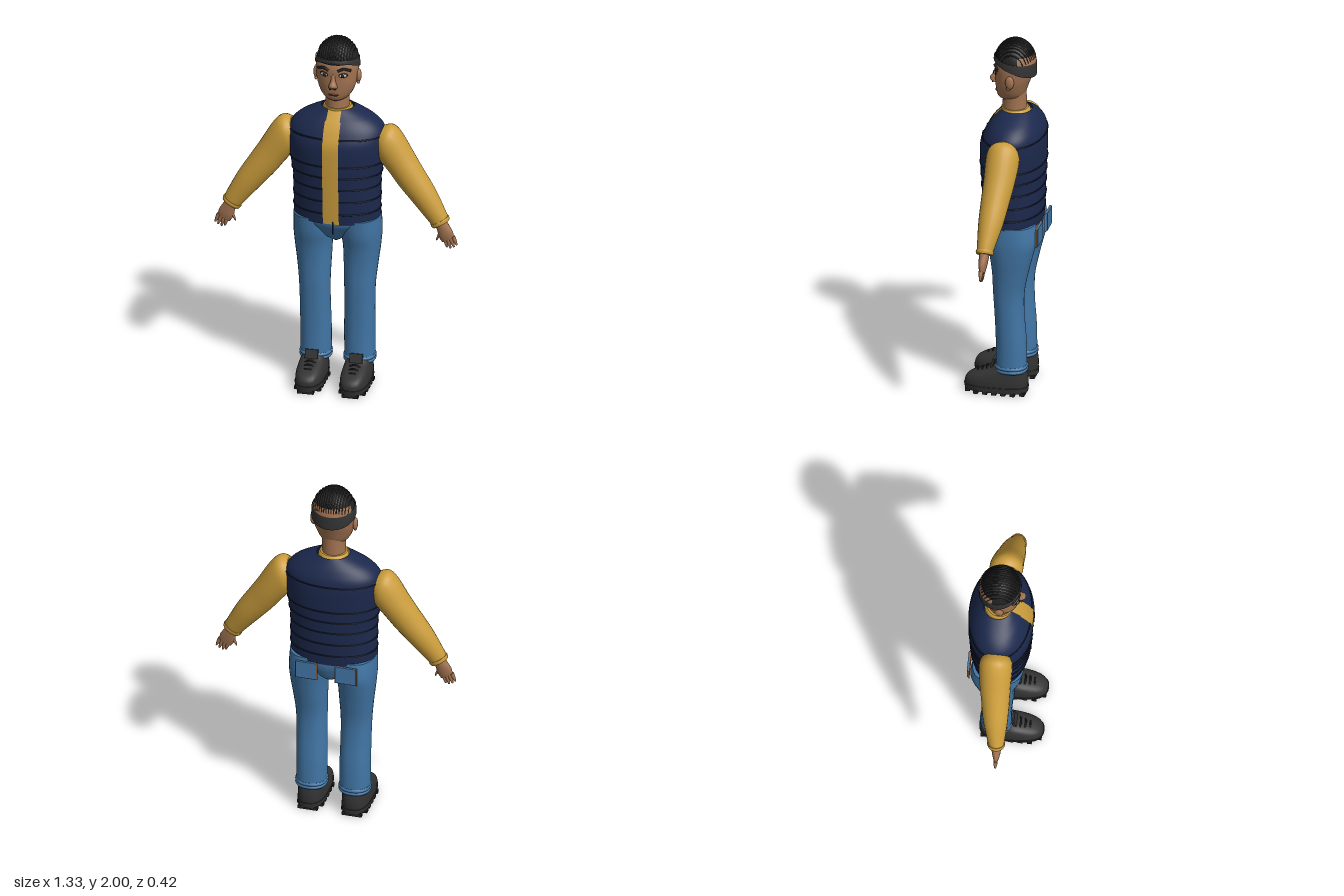
import * as THREE from 'three';

const mat = (name, color, side = THREE.FrontSide) => {
  const m = new THREE.MeshStandardMaterial({ color, side });
  m.name = name;
  return m;
};

// Catmull-Rom resampling of rows of numbers
function smooth(rows, n = 5) {
  const out = [], at = i => rows[Math.max(0, Math.min(rows.length - 1, i))];
  for (let i = 0; i < rows.length - 1; i++)
    for (let k = 0; k < n; k++) {
      const t = k / n, [a, b, c, d] = [at(i - 1), at(i), at(i + 1), at(i + 2)];
      out.push(b.map((p, j) => {
        const quad = 2 * a[j] - 5 * p + 4 * c[j] - d[j];
        const cube = 3 * (p - c[j]) + d[j] - a[j];
        return p + 0.5 * t * (c[j] - a[j] + t * (quad + t * cube));
      }));
    }
  out.push(at(rows.length - 1));
  return out;
}

const spow = (v, p) => Math.sign(v) * Math.abs(v) ** p;
const ringPoint = (r, t, p = 1) => [0, 1, 2].map(k => r.c[k] + r.u[k] * spow(Math.cos(t), p) + r.v[k] * spow(Math.sin(t), p));

// Skin over rings { c, u, v }; arc(ring) gives an open angular range
function loft(rings, { seg = 32, pow = 1, cap = true, arc = null } = {}) {
  const pos = [], idx = [], cols = arc ? seg + 1 : seg;
  const addRing = r => {
    const [a, b] = arc ? arc(r) : [0, Math.PI * 2];
    for (let j = 0; j < cols; j++) pos.push(...ringPoint(r, a + (b - a) * j / seg, pow));
  };
  rings.forEach(addRing);
  for (let i = 0; i < rings.length - 1; i++)
    for (let j = 0; j < seg; j++) {
      const a = i * cols + j, b = i * cols + (j + 1) % cols;
      idx.push(a, a + cols, b, b, a + cols, b + cols);
    }
  if (cap && !arc) [rings[0], rings[rings.length - 1]].forEach((r, e) => {
    const s = pos.length / 3;
    addRing(r);
    pos.push(...r.c);
    for (let j = 0; j < seg; j++) {
      const a = s + j, b = s + (j + 1) % seg;
      idx.push(...(e ? [a, s + seg, b] : [a, b, s + seg]));
    }
  });
  const g = new THREE.BufferGeometry();
  g.setAttribute('position', new THREE.Float32BufferAttribute(pos, 3));
  g.setIndex(idx);
  g.computeVertexNormals();
  return g;
}

// Rows of [y, centreX, halfWidth, frontZ, backZ] become horizontal rings
const toRings = (rows, n = 5) => smooth(rows, n).map(([y, x, w, f, b]) => (
  { c: [x, y, (f + b) / 2], u: [w, 0, 0], v: [0, 0, (f - b) / 2] }));
const stack = (rows, opts, n) => loft(toRings(rows, n), opts);

// Rows of [x, y, z, radiusInPlane, radiusZ, angle] become rings along a limb
const limb = (rows, seg = 24) => loft(smooth(rows).map(([x, y, z, r, rz, a]) => (
  { c: [x, y, z], u: [r * Math.cos(a), r * Math.sin(a), 0], v: [0, 0, -rz] })), { seg });

const box = (w, h, d, x, y, z) => new THREE.BoxGeometry(w, h, d).translate(x, y, z);
const ball = (rx, ry, rz, x, y, z) => new THREE.SphereGeometry(1, 20, 14).scale(rx, ry, rz).translate(x, y, z);
const tube = (pts, r, n = 32) => new THREE.TubeGeometry(
  new THREE.CatmullRomCurve3(pts.map(p => new THREE.Vector3(...p))), n, r, 6);

function mirrored(geo) {
  const g = geo.clone().scale(-1, 1, 1), ix = g.index;
  for (let i = 0; i < ix.count; i += 3) {
    const b = ix.getX(i + 1);
    ix.setX(i + 1, ix.getX(i + 2));
    ix.setX(i + 2, b);
  }
  return g;
}

export function createModel() {
  const model = new THREE.Group();
  model.name = 'standingMan';
  const skin = mat('skin', 0xa27352), denim = mat('denim', 0x4276a6), navy = mat('navy', 0x1c294d, THREE.DoubleSide);
  const seamNavy = mat('seamNavy', 0x10182e), yellow = mat('yellow', 0xcb9d3c, THREE.DoubleSide);
  const black = mat('black', 0x202020, THREE.DoubleSide), shoeGrey = mat('shoeGrey', 0x333333);
  const eyeWhite = mat('eyeWhite', 0xc8b49c), tan = mat('tan', 0xa5734a), lip = mat('lip', 0x7a4b38);
  const add = (name, geo, m) => {
    const mesh = new THREE.Mesh(geo, m);
    mesh.name = name;
    model.add(mesh);
  };
  const pair = (name, geo, m) => {
    add(name + 'Left', geo, m);
    add(name + 'Right', mirrored(geo), m);
  };

  // Vest, open down the front over a shirt
  const torso = toRings([[0.97, 0, 0.235, 0.12, -0.19], [1.08, 0, 0.236, 0.128, -0.197], [1.2, 0, 0.238, 0.135, -0.2],
    [1.31, 0, 0.254, 0.14, -0.205], [1.42, 0, 0.264, 0.14, -0.207], [1.49, 0, 0.256, 0.115, -0.2],
    [1.54, 0, 0.212, 0.085, -0.177], [1.575, 0, 0.15, 0.055, -0.153], [1.602, 0, 0.088, 0.032, -0.13]]);
  const gap = (r, w) => Math.asin(Math.min(0.9, w / r.u[0]));
  const vestArc = r => {
    const g = gap(r, r.c[1] > 1.55 ? 0.034 : 0.04);
    return [Math.PI / 2 + g, Math.PI * 2.5 - g];
  };
  add('vest', loft(torso, { seg: 64, pow: 0.95, arc: vestArc }), navy);
  const inner = torso.map(r => ({ c: r.c, u: r.u, v: r.v.map(k => k * 0.975) }));
  add('shirtFront', loft(inner, { seg: 10, pow: 0.95, arc: r => [Math.PI / 2 - gap(r, 0.055), Math.PI / 2 + gap(r, 0.055)] }), yellow);
  add('shirtCollar', stack([[1.57, 0, 0.084, 0.034, -0.124], [1.595, 0, 0.082, 0.034, -0.122], [1.61, 0, 0.074, 0.034, -0.112]]), yellow);

  // Quilting seams
  for (const y of [1.04, 1.1, 1.18, 1.25, 1.32, 1.46]) {
    const r = torso.reduce((a, b) => (Math.abs(b.c[1] - y) < Math.abs(a.c[1] - y) ? b : a));
    const [a, b] = vestArc(r), pts = [];
    for (let i = 0; i <= 40; i++) pts.push(ringPoint(r, a + (b - a) * i / 40, 0.95));
    add('vestSeam', tube(pts, 0.0045, 80), seamNavy);
  }
  add('zipPull', box(0.008, 0.07, 0.006, 0.012, 0.95, 0.122), seamNavy);

  // Sleeves with cuffs
  pair('sleeve', limb([[0.235, 1.44, -0.035, 0.07, 0.07, 1.3], [0.262, 1.432, -0.035, 0.092, 0.086, 1.15],
    [0.288, 1.4, -0.035, 0.098, 0.09, 0.95], [0.348, 1.312, -0.032, 0.086, 0.084, 0.68], [0.405, 1.23, -0.025, 0.081, 0.077, 0.64],
    [0.48, 1.13, -0.017, 0.071, 0.067, 0.6], [0.545, 1.035, -0.008, 0.057, 0.05, 0.56], [0.572, 0.992, -0.004, 0.05, 0.042, 0.54]]), yellow);
  pair('cuff', limb([[0.566, 1.003, -0.005, 0.055, 0.047, 0.54], [0.57, 0.995, -0.004, 0.056, 0.048, 0.54],
    [0.576, 0.984, -0.004, 0.052, 0.044, 0.54]]), yellow);

  // Hands
  pair('palm', limb([[0.572, 0.995, -0.003, 0.033, 0.027, 0.5], [0.585, 0.965, -0.002, 0.036, 0.026, 0.48],
    [0.602, 0.925, 0, 0.043, 0.021, 0.5], [0.615, 0.895, 0, 0.037, 0.014, 0.5]], 16), skin);
  const fingers = [[0.642, 0.915, 0.662, 0.868], [0.628, 0.905, 0.647, 0.855], [0.613, 0.9, 0.628, 0.846],
    [0.597, 0.897, 0.61, 0.85], [0.572, 0.935, 0.552, 0.886]];
  for (const [x0, y0, x1, y1] of fingers)
    pair('finger', limb([[x0, y0, 0, 0.011, 0.012, 0.4], [(x0 + x1) / 2, (y0 + y1) / 2, 0, 0.01, 0.01, 0.4], [x1, y1, 0, 0.005, 0.005, 0.4]], 10), skin);

  // Jeans
  add('jeansSeat', stack([[0.83, 0, 0.02, 0.005, -0.1], [0.86, 0, 0.07, 0.05, -0.155], [0.91, 0, 0.15, 0.085, -0.178],
    [0.95, 0, 0.215, 0.108, -0.187], [0.985, 0, 0.234, 0.115, -0.188]]), denim);
  pair('jeansLeg', stack([[0.14, 0.12, 0.082, 0.036, -0.13], [0.3, 0.12, 0.083, 0.036, -0.127], [0.45, 0.122, 0.082, 0.042, -0.116],
    [0.58, 0.124, 0.084, 0.05, -0.117], [0.7, 0.128, 0.092, 0.055, -0.14], [0.8, 0.132, 0.1, 0.068, -0.165],
    [0.89, 0.13, 0.108, 0.09, -0.186], [0.985, 0.128, 0.107, 0.1, -0.175]], { pow: 0.9 }), denim);
  for (const y of [0.14, 0.158])
    pair('jeansHem', stack([[y - 0.01, 0.12, 0.083, 0.037, -0.131], [y, 0.12, 0.088, 0.042, -0.136], [y + 0.01, 0.12, 0.083, 0.037, -0.131]], { pow: 0.9 }), denim);
  pair('backPocketTrim', box(0.122, 0.104, 0.008, 0.11, 0.922, -0.192), tan);
  pair('backPocket', box(0.112, 0.1, 0.009, 0.11, 0.925, -0.198), denim);

  // Shoes
  pair('shoe', stack([[0.04, 0.122, 0.076, 0.205, -0.136], [0.07, 0.122, 0.077, 0.203, -0.138], [0.095, 0.122, 0.075, 0.182, -0.137],
    [0.118, 0.122, 0.071, 0.135, -0.134], [0.142, 0.122, 0.066, 0.07, -0.128], [0.165, 0.122, 0.058, 0.035, -0.11]], { pow: 0.75 }), shoeGrey);
  pair('sole', stack([[0.014, 0.122, 0.075, 0.204, -0.137], [0.045, 0.122, 0.08, 0.21, -0.14]], { pow: 0.75 }, 2), shoeGrey);
  for (let i = 0; i < 7; i++) {
    const w = i === 6 ? 0.09 : i === 0 ? 0.11 : 0.145;
    pair('tread', box(w, 0.018, 0.026, 0.122, 0.009, -0.115 + i * 0.05), black);
  }
  pair('shoeTongue', box(0.07, 0.05, 0.012, 0, 0, 0).rotateX(-0.3).translate(0.122, 0.17, 0.05), shoeGrey);
  for (let i = 0; i < 3; i++)
    pair('shoelace', tube([[0.075, 0.118 - i * 0.008, 0.075 + i * 0.025], [0.122, 0.148 - i * 0.014, 0.085 + i * 0.025],
      [0.169, 0.118 - i * 0.008, 0.075 + i * 0.025]], 0.005, 10), black);

  // Neck and head
  add('neck', stack([[1.56, 0, 0.07, 0.03, -0.105], [1.62, 0, 0.064, 0.028, -0.102], [1.72, 0, 0.064, 0.025, -0.1]]), skin);
  add('head', stack([[1.655, 0, 0.03, 0.03, -0.06], [1.67, 0, 0.06, 0.05, -0.08], [1.7, 0, 0.085, 0.06, -0.098], [1.75, 0, 0.105, 0.066, -0.116],
    [1.8, 0, 0.114, 0.068, -0.134], [1.86, 0, 0.115, 0.067, -0.145], [1.92, 0, 0.098, 0.04, -0.132], [1.965, 0, 0.06, 0, -0.09]]), skin);
  pair('ear', ball(0.014, 0.037, 0.024, 0.117, 1.79, -0.035), skin);
  pair('earLobe', ball(0.009, 0.014, 0.012, 0.116, 1.757, -0.028), skin);

  // Face
  add('nose', stack([[1.742, 0, 0.014, 0.074, 0.05], [1.752, 0, 0.024, 0.092, 0.05], [1.766, 0, 0.021, 0.099, 0.05],
    [1.79, 0, 0.013, 0.083, 0.05], [1.825, 0, 0.012, 0.07, 0.05]], { seg: 20 }), skin);
  pair('nostril', ball(0.007, 0.004, 0.005, 0.012, 1.745, 0.081), black);
  pair('eyeSocket', ball(0.026, 0.014, 0.007, 0, 0, 0).rotateY(0.3).translate(0.052, 1.82, 0.056), black);
  pair('eyeball', ball(0.021, 0.01, 0.008, 0, 0, 0).rotateY(0.3).translate(0.052, 1.819, 0.058), eyeWhite);
  pair('pupil', ball(0.009, 0.01, 0.005, 0.05, 1.819, 0.065), black);
  pair('eyebrow', tube([[0.024, 1.846, 0.066], [0.055, 1.858, 0.059], [0.09, 1.844, 0.036]], 0.0075, 12), black);
  add('mouth', ball(0.03, 0.007, 0.007, 0, 1.702, 0.058), lip);
  add('mouthLine', ball(0.026, 0.0025, 0.006, 0, 1.703, 0.061), black);

  // Ribbed cap with a tilted band and a gap at the back
  const dome = (x0, xl, t0, tl, s) => new THREE.SphereGeometry(s, 40, 20, x0, xl, t0, tl)
    .scale(0.115, 0.138, 0.112).translate(0, 1.86, -0.04);
  add('capCrown', dome(0, Math.PI * 2, 0, Math.PI * 0.455, 1), black);
  add('capGap', dome(Math.PI * 1.5 - 1.25, 2.5, 1.1, 0.36, 1.02), skin);
  for (let i = -7; i <= 7; i++) {
    const x = i * 0.0135, k = Math.sqrt(1 - (x / 0.115) ** 2), pts = [];
    for (let j = 0; j <= 16; j++) {
      const a = 0.2 + (Math.PI - 0.5) * j / 16;
      pts.push([x, 1.86 + 0.138 * k * Math.sin(a), -0.04 + 0.112 * k * Math.cos(a)]);
    }
    add('capRib', tube(pts, 0.0042), black);
  }
  const bandRing = (y, w, tilt, d) => ({ c: [0, y, -0.04], u: [w, 0, 0], v: [0, tilt, d] });
  add('capBand', loft([bandRing(1.845, 0.118, 0.045, 0.111), bandRing(1.846, 0.122, 0.045, 0.115),
    bandRing(1.892, 0.119, 0.014, 0.114), bandRing(1.893, 0.113, 0.014, 0.108)], { seg: 48, cap: false }), shoeGrey);
  return model;
}
